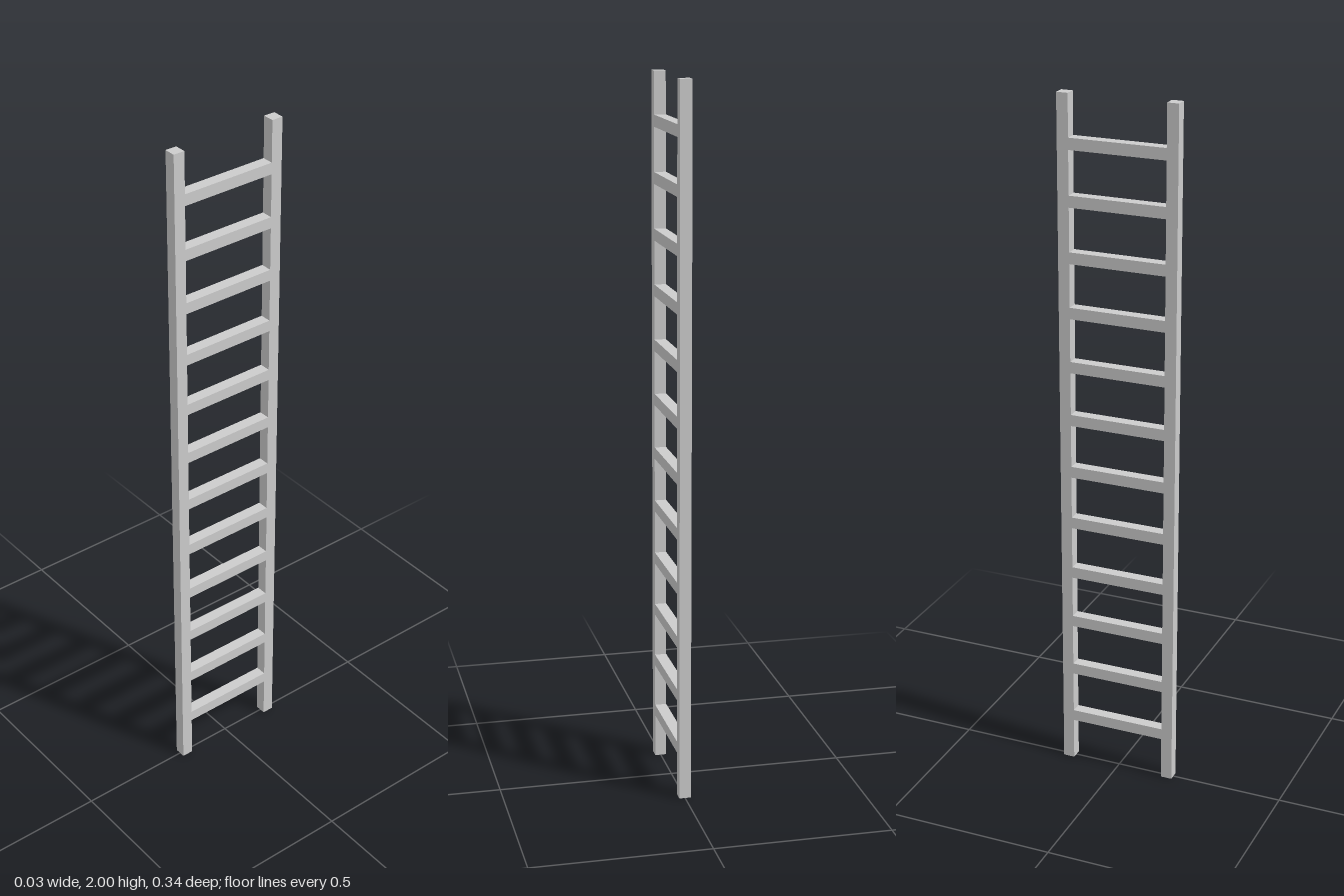
import * as THREE from 'three';

const DEPTH = 0.033; // shared thickness of rails and rungs
const RAIL_Z = 0.156;
const RAIL_WIDTH = 0.033;
const RUNGS = 12;

export function createModel() {
  const ladder = new THREE.Group();
  ladder.name = 'ladder';
  const material = new THREE.MeshStandardMaterial({ color: 0xcccccc, flatShading: true });

  // Two upright rails
  const railGeometry = new THREE.BoxGeometry(DEPTH, 2, RAIL_WIDTH);
  for (const side of [1, -1]) {
    const rail = new THREE.Mesh(railGeometry, material);
    rail.name = side > 0 ? 'frontRail' : 'backRail';
    rail.position.set(0, 1, side * RAIL_Z);
    ladder.add(rail);
  }

  // Evenly spaced rungs between the inner faces of the rails
  const rungGeometry = new THREE.BoxGeometry(DEPTH, 0.033, 2 * RAIL_Z - RAIL_WIDTH);
  for (let i = 0; i < RUNGS; i++) {
    const rung = new THREE.Mesh(rungGeometry, material);
    rung.name = `rung${i + 1}`;
    rung.position.y = THREE.MathUtils.lerp(0.143, 1.865, i / (RUNGS - 1));
    ladder.add(rung);
  }

  return ladder;
}
